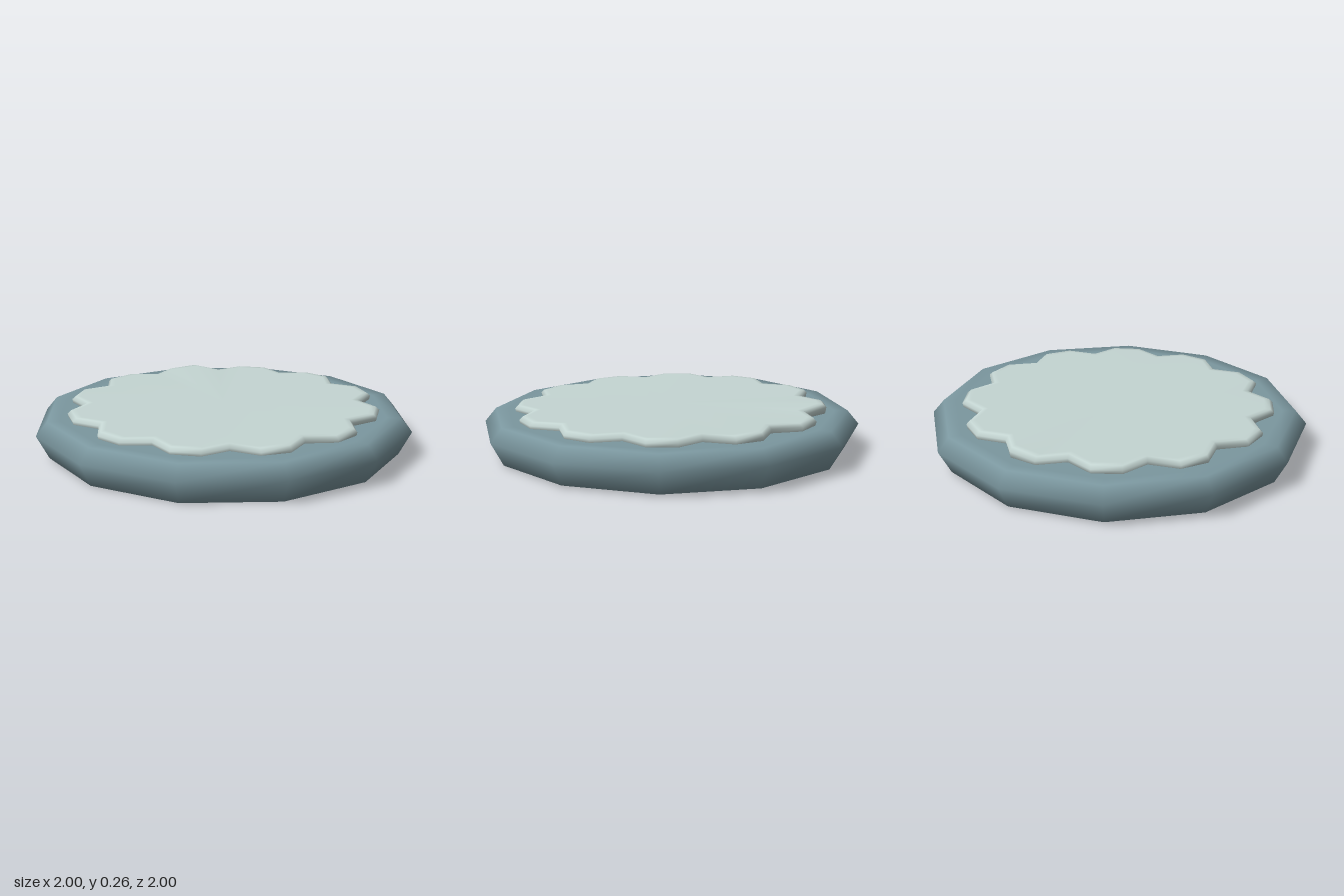
import * as THREE from 'three';

const stone = new THREE.MeshStandardMaterial({ color: 0x7b979f });
stone.name = 'blue grey';
const pale = new THREE.MeshStandardMaterial({ color: 0xc4d5d2 });
pale.name = 'pale mint';

// Gentle warp shared by both parts: slightly tilted and saddle shaped
const warp = (x, z) => -0.005 * z + 0.004 * (x * x - z * z);

// Skins an outline [angle, radius] through rings [scale, inset, y], from bottom centre to top centre
function disc(name, outline, rings, bottomY, topY, material, extra = () => 0) {
  const n = outline.length, pos = [], idx = [];
  for (const [scale, inset, y] of rings) {
    for (const [a, radius] of outline) {
      const r = radius * scale - inset;
      const x = r * Math.sin(a), z = r * Math.cos(a);
      pos.push(x, y + warp(x, z) + extra(x, z, y), z);
    }
  }
  const low = pos.length / 3, high = low + 1, last = (rings.length - 1) * n;
  pos.push(0, bottomY, 0, 0, topY, 0);
  for (let i = 0; i < n; i++) {
    const j = (i + 1) % n;
    idx.push(low, j, i, high, last + i, last + j);
    for (let k = 0; k < last; k += n) {
      idx.push(k + i, k + j, k + n + j, k + i, k + n + j, k + n + i);
    }
  }
  const g = new THREE.BufferGeometry();
  g.setAttribute('position', new THREE.Float32BufferAttribute(pos, 3));
  g.setIndex(idx);
  g.computeVertexNormals();
  const mesh = new THREE.Mesh(g, material);
  mesh.name = name;
  return mesh;
}

export function createModel() {
  const group = new THREE.Group();
  group.name = 'scallopedDisc';
  const deg = Math.PI / 180;

  // Twelve-sided body with a rounded, protruding rim
  const body = [], scallops = [];
  for (let i = 0; i < 12; i++) {
    body.push([(15 + 30 * i) * deg, 1.034]);
    // One lobe: a notch followed by two outer corners
    scallops.push([30 * i * deg, 0.76], [(30 * i + 10) * deg, 0.853], [(30 * i + 20.5) * deg, 0.853]);
  }
  group.add(disc('body', body, [
    [0.8, 0, 0.011], [0.935, 0, 0.011], [1, 0, 0.137], [0.94, 0, 0.211], [0.87, 0, 0.209],
  ], 0.013, 0.206, stone));

  // Raised scalloped top with a soft edge and one slightly lifted lobe at the back
  const lift = (x, z, y) => (y > 0.21 ? -0.004 * z + (Math.hypot(x + 0.15, z + 0.83) < 0.09 ? 0.012 : 0) : 0);
  group.add(disc('scallopedTop', scallops, [
    [1, 0.008, 0.198], [1, 0, 0.228], [1, 0.02, 0.246], [1, 0.05, 0.247],
  ], 0.198, 0.247, pale, lift));
  return group;
}
